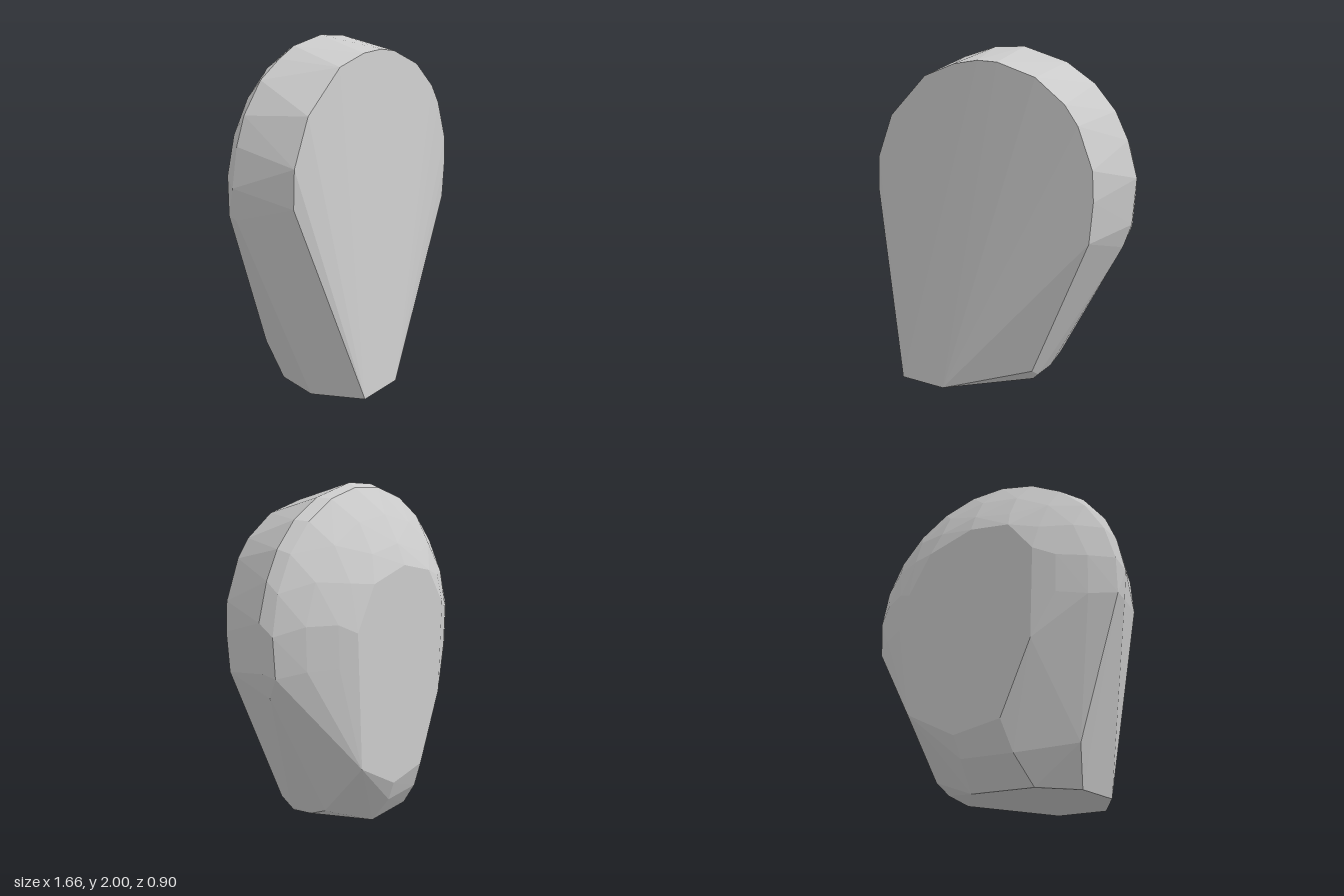
import * as THREE from 'three';
import { ConvexGeometry } from 'three/addons/geometries/ConvexGeometry.js';

// Faceted stone: the convex skin around a stack of cross-sections from front to back
export function createModel() {
  const points = [];
  const add = (x, y, z) => points.push(new THREE.Vector3(x, y, z));
  const outline = (z, pairs) => pairs.forEach(([x, y]) => add(x, y, z));
  const arc = (z, rx, ry, cy, count, from, to) => {
    for (let i = 0; i < count; i++) {
      const a = THREE.MathUtils.degToRad(from + (to - from) * i / (count - 1));
      add(rx * Math.cos(a), cy + ry * Math.sin(a), z);
    }
  };

  // Front face: rounded upper rim, slanting out to a short foot edge
  outline(0.235, [[-0.75, 1.12], [-0.74, 1.33], [-0.63, 1.59], [-0.37, 1.83], [-0.16, 1.9],
    [0, 1.92], [0.13, 1.91], [0.37, 1.83], [0.55, 1.69], [0.63, 1.58], [0.72, 1.35], [0.73, 1.18], [0.71, 0.95]]);
  outline(0.45, [[-0.42, 0], [-0.12, 0]]);

  // Widest rim
  outline(-0.13, [[-0.81, 1.02], [-0.83, 1.2], [-0.79, 1.42], [-0.73, 1.58], [-0.6, 1.76],
    [-0.45, 1.87], [-0.33, 1.94], [-0.1, 2], [0.1, 2], [0.38, 1.91], [0.56, 1.79],
    [0.69, 1.64], [0.77, 1.48], [0.83, 1.27], [0.81, 1.0], [0.76, 0.86]]);

  // Domed back
  arc(-0.2, 0.805, 0.83, 1.15, 14, -12, 188);
  arc(-0.31, 0.68, 0.67, 1.15, 11, -12, 192);
  arc(-0.4, 0.53, 0.51, 1.15, 9, -15, 195);

  // Flat back panel
  outline(-0.45, [[-0.4, 1.3], [-0.38, 0.75], [-0.2, 0.33], [0.08, 0.28], [0.38, 0.44],
    [0.42, 1.2], [0.28, 1.45], [0, 1.54], [-0.25, 1.5]]);

  // Foot and its chamfered corners
  [[-0.56, 0, 0.17], [-0.5, 0, -0.1], [-0.3, 0, -0.26], [0.06, 0, -0.28],
    [0.35, 0.12, 0.2], [0.32, 0.04, 0.13], [0.35, 0.07, 0.12], [0.35, 0.07, -0.04],
    [0.36, 0.12, -0.16], [0.06, 0.16, -0.4], [-0.24, 0.16, -0.38],
    [-0.54, 0.22, -0.2]].forEach((p) => add(...p));

  const stone = new THREE.Mesh(
    new ConvexGeometry(points),
    new THREE.MeshStandardMaterial({ color: 0xcccccc, flatShading: true })
  );
  stone.name = 'stone';

  const group = new THREE.Group();
  group.name = 'facetedStone';
  group.add(stone);
  return group;
}
